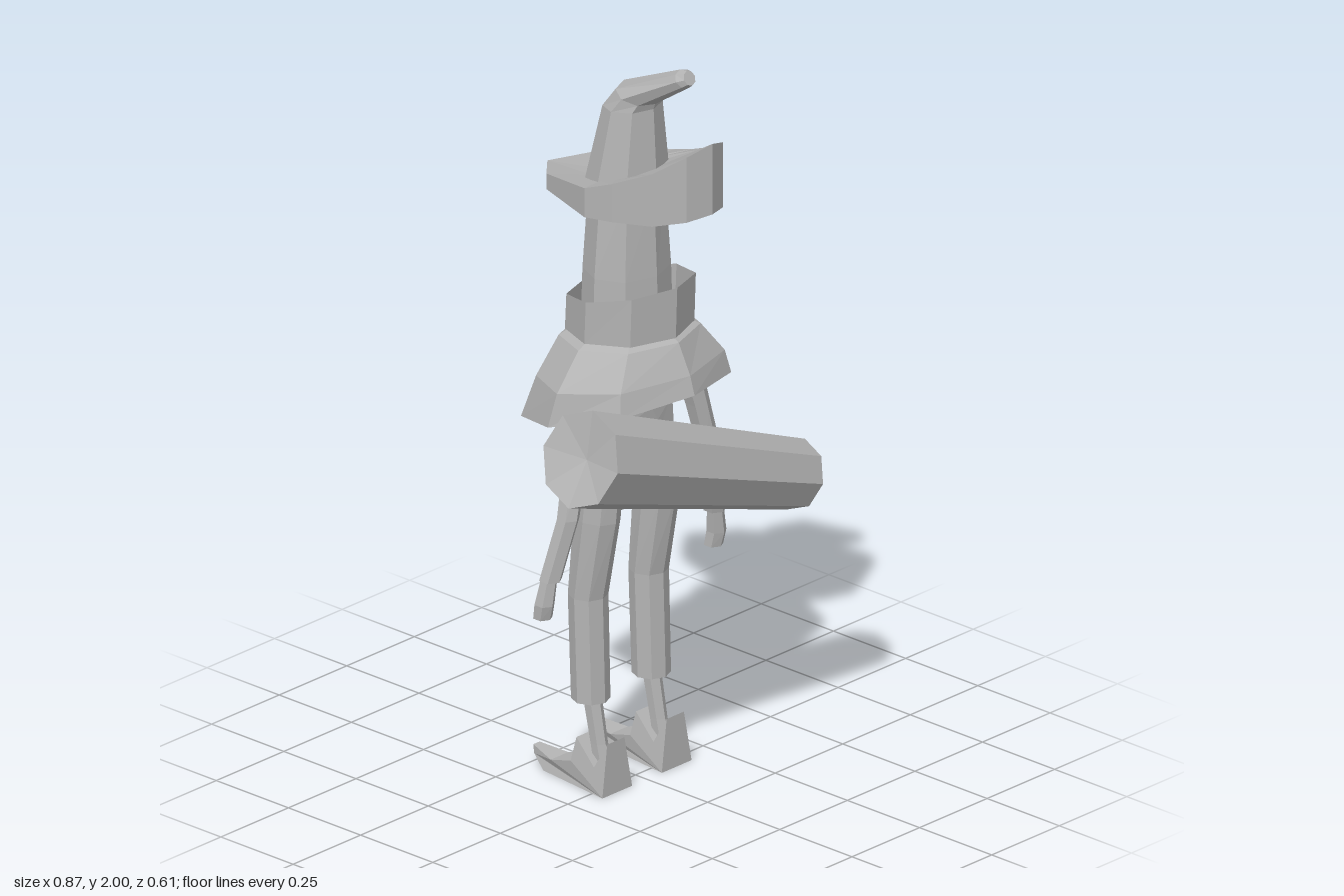
import * as THREE from 'three';

const grey = new THREE.MeshStandardMaterial({ color: 0xb3b3b3, flatShading: true, side: THREE.DoubleSide });
grey.name = 'plain grey';

// Skin a list of equally long point loops, ordered from bottom to top
function skin(loops, capBottom = false, capTop = false) {
  const pos = [], n = loops[0].length;
  const tri = (a, b, c) => pos.push(...a, ...b, ...c);
  for (let i = 0; i < loops.length - 1; i++) {
    for (let j = 0; j < n; j++) {
      const k = (j + 1) % n, lo = loops[i], hi = loops[i + 1];
      tri(lo[j], lo[k], hi[k]);
      tri(lo[j], hi[k], hi[j]);
    }
  }
  const fan = (loop, up) => {
    const c = [0, 1, 2].map(a => loop.reduce((s, p) => s + p[a], 0) / n);
    loop.forEach((p, j) => {
      const q = loop[(j + 1) % n];
      up ? tri(c, p, q) : tri(c, q, p);
    });
  };
  if (capBottom) fan(loops[0], false);
  if (capTop) fan(loops[loops.length - 1], true);
  const g = new THREE.BufferGeometry();
  g.setAttribute('position', new THREE.Float32BufferAttribute(pos, 3));
  g.computeVertexNormals();
  return g;
}

// Elliptical loop: centre x, half width, then y and z of its front and back points
function ring(x, rx, yF, zF, yB, zB, n = 8) {
  return Array.from({ length: n }, (_, j) => {
    const a = (j / n) * Math.PI * 2, t = (1 + Math.cos(a)) / 2;
    return [x + rx * Math.sin(a), yB + (yF - yB) * t, zB + (zF - zB) * t];
  });
}

// Full loop from the points of one half, running front to back
const mirrorLoop = half => [...half, ...half.slice(1, -1).reverse().map(([x, y, z]) => [-x, y, z])];

function part(parent, name, geometry) {
  const m = new THREE.Mesh(geometry, grey);
  m.name = name;
  parent.add(m);
  return m;
}

function shoeGeometry() {
  const profile = [[0.04, 0], [0.035, 0.14], [0, 0.07], [-0.07, 0.13], [-0.08, 0.065],
    [-0.16, 0.04], [-0.24, 0.052], [-0.235, 0.03], [-0.19, 0]];
  const shape = new THREE.Shape(profile.map(p => new THREE.Vector2(...p)));
  const g = new THREE.ExtrudeGeometry(shape, { depth: 0.11, bevelEnabled: false });
  g.translate(0, 0, -0.055).rotateY(-Math.PI / 2);
  // Narrow towards the ankle and the toe
  const p = g.attributes.position;
  for (let i = 0; i < p.count; i++) {
    const toe = THREE.MathUtils.clamp((-p.getZ(i) - 0.1) / 0.14, 0, 1);
    p.setX(i, p.getX(i) * (1 - 3 * p.getY(i)) * (1 - 0.75 * toe));
  }
  return g;
}

export function createModel() {
  const model = new THREE.Group();
  model.name = 'hatted figure';

  // Legs, shoes and arms, mirrored left and right
  for (const s of [1, -1]) {
    const side = s > 0 ? 'left' : 'right';
    const limb = (name, rows, n) => part(model, side + name,
      skin(rows.map(r => ring(s * r[0], r[1], r[2], r[3], r[2], r[4], n)), true, true));
    limb('Shin', [[0.11, 0.023, 0.06, 0.015, -0.035], [0.11, 0.023, 0.12, 0.0, -0.045],
      [0.11, 0.025, 0.26, -0.025, -0.075]], 6);
    limb('TrouserLeg', [[0.112, 0.05, 0.235, 0, -0.1], [0.112, 0.052, 0.52, -0.008, -0.11],
      [0.11, 0.054, 0.74, 0.035, -0.095], [0.105, 0.053, 0.88, 0.045, -0.085]], 8);
    limb('Hand', [[0.316, 0.026, 0.53, 0.0, -0.05], [0.318, 0.026, 0.57, 0.01, -0.045],
      [0.306, 0.021, 0.65, 0.012, -0.032]], 6);
    limb('Sleeve', [[0.304, 0.03, 0.635, 0.02, -0.04], [0.265, 0.03, 0.8, 0.045, -0.015],
      [0.225, 0.031, 0.96, 0.04, -0.03], [0.175, 0.04, 1.16, 0.03, -0.06]], 6);
    part(model, side + 'Shoe', shoeGeometry()).position.x = s * 0.11;
  }

  // Torso
  part(model, 'hips', skin([ring(0, 0.1, 0.755, 0.02, 0.755, -0.07), ring(0, 0.155, 0.8, 0.045, 0.8, -0.09),
    ring(0, 0.15, 0.92, 0.045, 0.92, -0.09)], true, true));
  part(model, 'tunic', skin([ring(0, 0.16, 0.9, 0.052, 0.9, -0.1), ring(0, 0.15, 1.03, 0.05, 1.03, -0.1),
    ring(0, 0.16, 1.2, 0.06, 1.2, -0.12)], true, true));

  // Slanted strap around the torso and a small loop behind it
  const strap = part(model, 'strap', new THREE.CylinderGeometry(1, 1, 0.05, 8, 1, true));
  strap.scale.set(0.18, 1, 0.09);
  strap.position.set(0, 1.02, -0.024);
  strap.rotation.z = 0.5;
  const loopPath = new THREE.CatmullRomCurve3([[1.04, -0.09], [1.0, -0.14], [0.94, -0.135], [0.89, -0.09]]
    .map(([y, z]) => new THREE.Vector3(-0.11, y, z)));
  part(model, 'strapLoop', new THREE.TubeGeometry(loopPath, 5, 0.008, 4));

  // Cape: hem drops towards the back
  const hem = mirrorLoop([[0, 1.11, 0.205], [0.205, 1.09, 0.14], [0.292, 1.045, -0.03],
    [0.21, 1.0, -0.2], [0, 0.98, -0.25]]);
  part(model, 'cape', skin([hem, ring(0, 0.272, 1.16, 0.19, 1.11, -0.225),
    ring(0, 0.19, 1.24, 0.15, 1.215, -0.19), ring(0, 0.125, 1.265, 0.1, 1.25, -0.14)]));
  part(model, 'collar', skin([ring(0, 0.168, 1.25, 0.14, 1.23, -0.18), ring(0, 0.168, 1.39, 0.145, 1.32, -0.175)]));

  // Head
  part(model, 'head', skin([ring(0, 0.125, 1.22, 0.08, 1.22, -0.14), ring(0, 0.12, 1.4, 0.075, 1.4, -0.135),
    ring(0, 0.1, 1.63, 0.065, 1.63, -0.125)], true, true));

  // Hat brim: tall at the front, thinning to a point at the back (x, z, top y, bottom y)
  const edge = [[0, 0.267, 1.825, 1.63], [0.067, 0.24, 1.8, 1.62], [0.12, 0.17, 1.75, 1.605],
    [0.152, 0.06, 1.7, 1.595], [0.168, -0.02, 1.67, 1.59], [0.1, -0.215, 1.63, 1.587], [0, -0.305, 1.607, 1.602]];
  part(model, 'hatBrim', skin([
    ring(0, 0.09, 1.63, 0.055, 1.62, -0.115, 12),
    mirrorLoop(edge.map(([x, z, , b]) => [x, b, z])),
    mirrorLoop(edge.map(([x, z, t]) => [x, t, z])),
    ring(0, 0.1, 1.69, 0.06, 1.64, -0.12, 12)]));

  // Hat crown, bending forward to a blunt tip
  part(model, 'hatCrown', skin([
    ring(0, 0.115, 1.64, 0.075, 1.625, -0.135), ring(0, 0.08, 1.86, 0.063, 1.85, -0.083),
    ring(0, 0.068, 1.875, 0.068, 1.91, -0.04), ring(0, 0.032, 1.955, 0.185, 1.997, 0.155),
    ring(0, 0.02, 1.965, 0.197, 2.0, 0.178)], true, true));

  // Eight-sided tapered quiver with a sunken mouth
  const wide = new THREE.Vector3(-0.39, 1.05, 0.175), narrow = new THREE.Vector3(0.405, 0.755, 0.178);
  const axis = wide.clone().sub(narrow), h = axis.length() / 2;
  const profile = [[0, -h], [0.093, -h], [0.129, h], [0, h - 0.025]].map(p => new THREE.Vector2(...p));
  const quiver = part(model, 'quiver', new THREE.LatheGeometry(profile, 8));
  quiver.position.copy(wide).add(narrow).multiplyScalar(0.5);
  quiver.quaternion.setFromUnitVectors(new THREE.Vector3(0, 1, 0), axis.normalize());

  return model;
}
